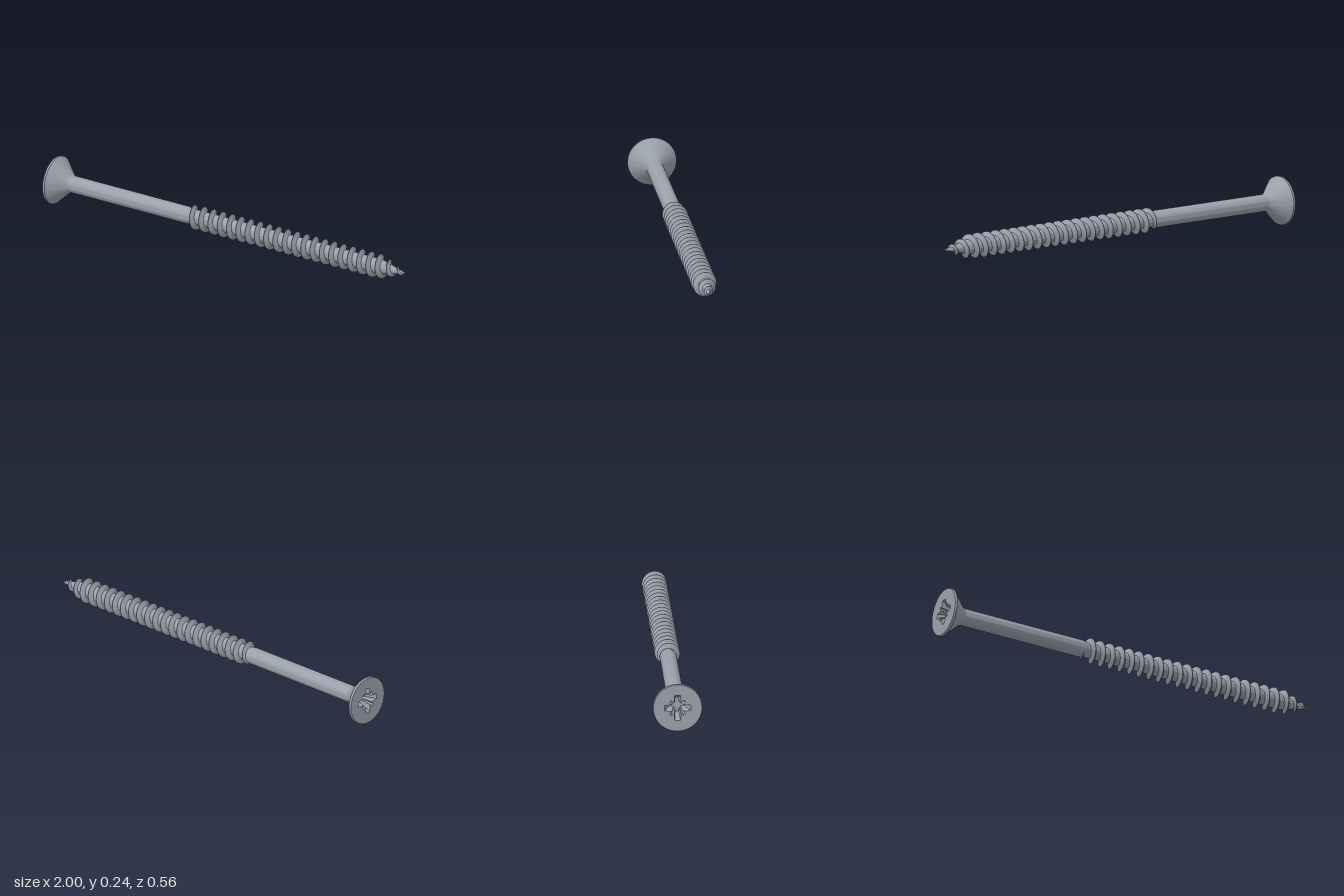
import * as THREE from 'three';
import { toCreasedNormals } from 'three/addons/utils/BufferGeometryUtils.js';

const LENGTH = 2.019;       // head face to tip, along local +Y
const TAPER_START = 1.875;  // where the point begins
const PITCH = 0.0535;
const { lerp, clamp } = THREE.MathUtils;

const taper = (s) => clamp((s - TAPER_START) / (LENGTH - TAPER_START), 0, 1);
const coreRadius = (s) => lerp(0.037, 0.003, taper(s));

function lathe(points) {
  const profile = points.map(([r, s]) => new THREE.Vector2(r, s));
  return toCreasedNormals(new THREE.LatheGeometry(profile, 64), 0.5);
}

// Outline of the cross recess: four wide arms with a small notch between each pair
function recessOutline(scale) {
  const quarter = [[0.064, -0.014], [0.064, 0.014], [0.028, 0.017], [0.039, 0.031], [0.031, 0.039], [0.017, 0.028]];
  const points = [];
  for (let k = 0; k < 4; k++) {
    for (const [x, y] of quarter) {
      points.push(new THREE.Vector2(x * scale, y * scale).rotateAround(new THREE.Vector2(), k * Math.PI / 2));
    }
  }
  return points;
}

// Walls narrowing from the head face to the recess floor
function recessWalls(top, bottom, depth) {
  const positions = [];
  top.forEach((p, i) => {
    const j = (i + 1) % top.length;
    const a = [p.x, p.y, 0], b = [top[j].x, top[j].y, 0];
    const c = [bottom[i].x, bottom[i].y, -depth], d = [bottom[j].x, bottom[j].y, -depth];
    positions.push(...a, ...b, ...c, ...b, ...d, ...c);
  });
  const geometry = new THREE.BufferGeometry();
  geometry.setAttribute('position', new THREE.Float32BufferAttribute(positions, 3));
  geometry.computeVertexNormals();
  return geometry;
}

// Right-handed helical fin with a V section; both flanks have their own vertices
function threadGeometry() {
  const start = 0.755, end = 2.008, crestAtTop = 0.797, stepsPerTurn = 40;
  const steps = Math.round((end - start) / PITCH * stepsPerTurn);
  const positions = [], index = [];
  for (let i = 0; i <= steps; i++) {
    const s = lerp(start, end, i / steps);
    const angle = (s - crestAtTop) / PITCH * Math.PI * 2;
    const grow = clamp((s - start) / 0.045, 0, 1);
    const t = taper(s);
    const height = lerp(0.024, 0.004, t) * grow;
    const halfBase = lerp(0.015, 0.007, t) * (0.3 + 0.7 * grow);
    const inner = coreRadius(s) - 0.002;
    const outer = coreRadius(s) + height;
    const section = [[inner, -halfBase], [outer, -0.0015], [outer, -0.0015], [outer, 0.0015], [outer, 0.0015], [inner, halfBase]];
    for (const [r, ds] of section) positions.push(r * Math.cos(angle), s + ds, -r * Math.sin(angle));
    if (i < steps) {
      for (const k of [0, 2, 4]) {
        const a = i * 6 + k, b = a + 1, c = a + 6, d = a + 7;
        index.push(a, c, b, b, c, d);
      }
    }
  }
  const geometry = new THREE.BufferGeometry();
  geometry.setAttribute('position', new THREE.Float32BufferAttribute(positions, 3));
  geometry.setIndex(index);
  geometry.computeVertexNormals();
  return geometry;
}

export function createModel() {
  const model = new THREE.Group();
  model.name = 'woodScrew';
  const steel = new THREE.MeshStandardMaterial({ color: 0x9aa1ab, side: THREE.DoubleSide });
  steel.name = 'steel grey';

  const screw = new THREE.Group();
  screw.name = 'screw';
  const add = (name, geometry, parent = screw) => {
    const mesh = new THREE.Mesh(geometry, steel);
    mesh.name = name;
    parent.add(mesh);
  };

  // Countersunk head
  add('headCone', lathe([[0.118, 0], [0.12, 0.003], [0.12, 0.012], [0.092, 0.041], [0.064, 0.07], [0.049, 0.087], [0.042, 0.1]]));

  // Head face with the driver recess
  const depth = 0.06;
  const rim = recessOutline(1), floor = recessOutline(0.55);
  const face = new THREE.Shape().absarc(0, 0, 0.118, 0, Math.PI * 2);
  face.holes.push(new THREE.Path(rim));
  const top = new THREE.Group();
  top.name = 'headTop';
  top.rotation.x = Math.PI / 2;
  add('headFace', new THREE.ShapeGeometry(face, 32), top);
  add('recessWalls', recessWalls(rim, floor, depth), top);
  add('recessFloor', new THREE.ShapeGeometry(new THREE.Shape(floor)).translate(0, 0, -depth), top);
  screw.add(top);

  // Plain shank, threaded core and point
  add('shank', lathe([[0.042, 0.1], [0.042, 0.76], [0.037, 0.785]]));
  add('threadCore', lathe([[0.037, 0.785], [0.037, TAPER_START], [0.003, LENGTH - 0.003], [0, LENGTH]]));
  add('thread', threadGeometry());

  // Lay the screw down so that it rests on the head rim and the thread
  const head = new THREE.Vector3(-0.975, 0.12, -0.165);
  const axis = new THREE.Vector3(1, 0.053, 0.25).sub(head).normalize();
  const up = new THREE.Vector3(0, 1, 0).addScaledVector(axis, -axis.y).normalize();
  const side = new THREE.Vector3().crossVectors(up, axis);
  screw.quaternion.setFromRotationMatrix(new THREE.Matrix4().makeBasis(up, axis, side));
  screw.position.copy(head);
  model.add(screw);
  return model;
}
